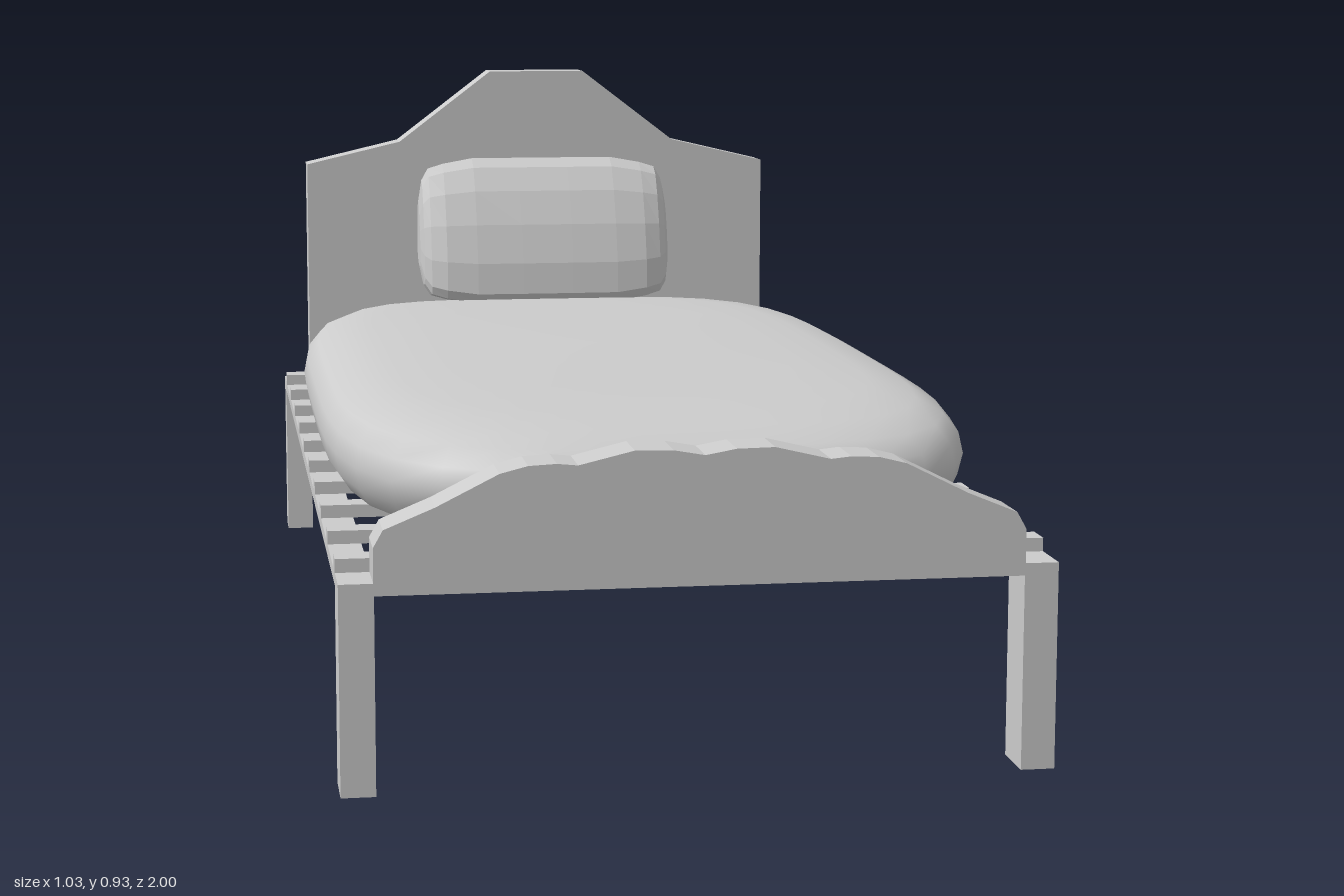
import * as THREE from 'three';

const grey = new THREE.MeshStandardMaterial({ color: 0xcccccc });
const greyFlat = new THREE.MeshStandardMaterial({ color: 0xcccccc, flatShading: true });

// Skin a list of closed rings of equal point count
function loft(rings) {
  const n = rings[0].length;
  const index = [];
  for (let i = 0; i < rings.length - 1; i++) {
    for (let j = 0; j < n; j++) {
      const k = (j + 1) % n;
      const a = i * n + j, b = i * n + k, c = a + n, d = b + n;
      index.push(a, c, b, b, c, d);
    }
  }
  const geometry = new THREE.BufferGeometry();
  geometry.setAttribute('position', new THREE.Float32BufferAttribute(rings.flat(2), 3));
  geometry.setIndex(index);
  geometry.computeVertexNormals();
  return geometry;
}

// Mirrored board: half outline given from the lower outer corner to the middle
function boardGeometry(half, depth, z) {
  const mirrored = half.filter(p => p[0] > 0).reverse().map(([x, y]) => [-x, y]);
  const shape = new THREE.Shape([...half, ...mirrored].map(p => new THREE.Vector2(...p)));
  return new THREE.ExtrudeGeometry(shape, { depth, bevelEnabled: false }).translate(0, 0, z);
}

export function createModel() {
  const bed = new THREE.Group();
  bed.name = 'bed';
  const add = (name, geometry, material = grey) => {
    const mesh = new THREE.Mesh(geometry, material);
    mesh.name = name;
    bed.add(mesh);
    return mesh;
  };
  const box = (name, w, h, d, x, y, z) =>
    add(name, new THREE.BoxGeometry(w, h, d), greyFlat).position.set(x, y, z);

  // Legs and side rails
  for (const [side, s] of [['left', 1], ['right', -1]]) {
    box(side + 'FrontLeg', 0.05, 0.305, 0.08, s * 0.491, 0.1525, 0.96);
    box(side + 'BackLeg', 0.05, 0.305, 0.075, s * 0.491, 0.1525, -0.9625);
    box(side + 'Rail', 0.05, 0.018, 1.845, s * 0.491, 0.296, -0.0025);
  }

  // Ten slats across the rails
  for (let i = 0; i < 10; i++) {
    box('slat' + (i + 1), 1.032, 0.02, 0.045, 0, 0.315, -0.9 + i * 0.2);
  }

  // Peaked headboard and scalloped footboard
  add('headboard', boardGeometry(
    [[0.467, 0.287], [0.467, 0.748], [0.28, 0.792], [0.095, 0.933]], 0.075, -1), greyFlat);
  add('footboard', boardGeometry(
    [[0.467, 0.287], [0.467, 0.355], [0.453, 0.38], [0.38, 0.41], [0.29, 0.455], [0.25, 0.465],
      [0.21, 0.467], [0.18, 0.464], [0.1, 0.483], [0.045, 0.482], [0, 0.474]], 0.08, 0.92), greyFlat);

  // Mattress: soft squared-oval rings stacked in height
  const layers = [[0, 0.314], [0.78, 0.315], [0.88, 0.322], [0.95, 0.341], [0.987, 0.37], [1, 0.405],
    [0.988, 0.437], [0.95, 0.463], [0.88, 0.482], [0.76, 0.493], [0.55, 0.498], [0, 0.5]];
  const segments = 48;
  add('mattress', loft(layers.map(([scale, y]) =>
    Array.from({ length: segments }, (_, j) => {
      const t = j / segments * Math.PI * 2, c = Math.cos(t), s = Math.sin(t);
      const r = scale * Math.pow(c ** 4 + s ** 4, -0.25);
      return [0.505 * r * c, y, 0.914 * r * s];
    }))));

  // Pillow: a leaning side profile (z, y) scaled along x
  const profile = [[-0.73, 0.5], [-0.737, 0.56], [-0.76, 0.635], [-0.79, 0.7], [-0.822, 0.745], [-0.856, 0.762],
    [-0.895, 0.735], [-0.92, 0.68], [-0.925, 0.6], [-0.915, 0.53], [-0.87, 0.488], [-0.8, 0.474], [-0.74, 0.482]];
  const halfStations = [[0.25, 0, 0], [0.25, 0.45, 0.4], [0.243, 0.72, 0.62], [0.23, 0.87, 0.76],
    [0.2, 0.93, 0.9], [0.14, 1, 0.98], [0.05, 1, 1]];
  const stations = [...halfStations.map(([x, h, d]) => [-x, h, d]), ...halfStations.slice().reverse()];
  add('pillow', loft(stations.map(([x, h, d]) =>
    profile.map(([z, y]) => [x, 0.61 + (y - 0.61) * h, -0.833 + (z + 0.833) * d]))), greyFlat);

  return bed;
}
